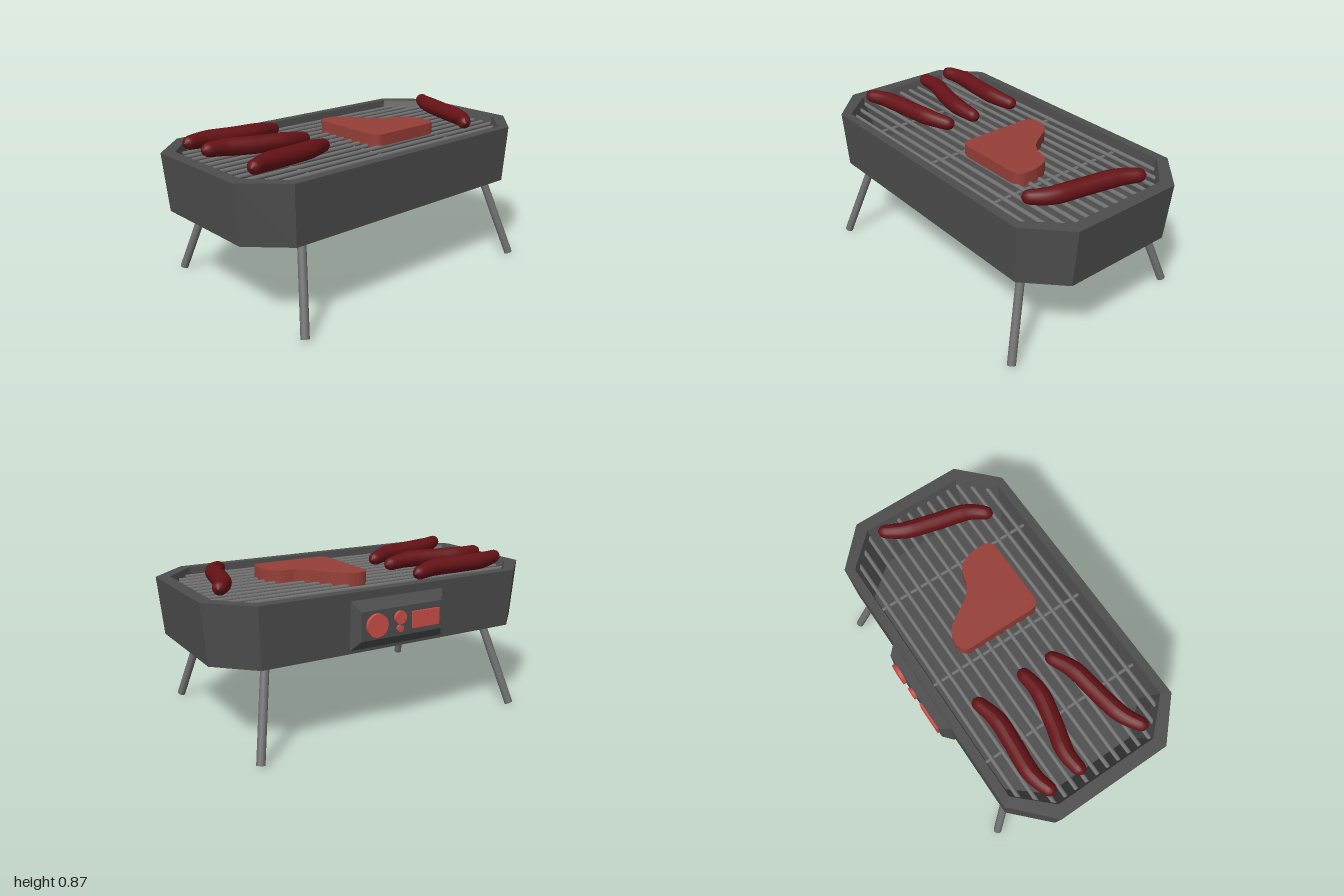
import * as THREE from 'three';

const mat = (color, extra = {}) => new THREE.MeshStandardMaterial({ color, ...extra });
const bodyMat = mat(0x4d4d4d, { flatShading: true });
const metalMat = mat(0x707070);
const knobMat = mat(0xcc4f48);
const steakMat = mat(0x963f37);
const sausageMat = mat(0x651216);

function add(parent, name, geometry, material) {
  const mesh = new THREE.Mesh(geometry, material);
  mesh.name = name;
  parent.add(mesh);
  return mesh;
}

// Rectangle with cut corners in the xz plane, in order of rising angle
function octagon(y, x, z, cx, cz) {
  return [[x, -cz], [x, cz], [cx, z], [-cx, z], [-x, cz], [-x, -cz], [-cx, -z], [cx, -z]]
    .map(([px, pz]) => [px, y, pz]);
}

function rectangle(y, x0, x1, z0, z1) {
  return [[x1, y, z0], [x1, y, z1], [x0, y, z1], [x0, y, z0]];
}

// Faceted skin through a row of rings, closed at both ends
function loft(rings) {
  const n = rings[0].length;
  const centre = ring => {
    const c = [0, 1, 2].map(k => ring.reduce((s, p) => s + p[k], 0) / n);
    return ring.map(() => c);
  };
  const all = [centre(rings[0]), ...rings, centre(rings[rings.length - 1])];
  const pos = [];
  for (let i = 0; i < all.length - 1; i++) {
    for (let j = 0; j < n; j++) {
      const k = (j + 1) % n;
      const a = all[i][j], b = all[i][k], c = all[i + 1][k], d = all[i + 1][j];
      if (i < all.length - 2) pos.push(...a, ...d, ...c);
      if (i > 0) pos.push(...a, ...c, ...b);
      else pos.push(...a, ...d, ...c);
    }
  }
  const g = new THREE.BufferGeometry();
  g.setAttribute('position', new THREE.Float32BufferAttribute(pos, 3));
  g.computeVertexNormals();
  return g;
}

// Round bar between two points
function rod(parent, name, from, to, radius, sides = 12) {
  const a = new THREE.Vector3(...from), b = new THREE.Vector3(...to);
  const mesh = add(parent, name, new THREE.CylinderGeometry(radius, radius, a.distanceTo(b), sides), metalMat);
  mesh.position.copy(a).add(b).multiplyScalar(0.5);
  mesh.quaternion.setFromUnitVectors(new THREE.Vector3(0, 1, 0), b.sub(a).normalize());
  return mesh;
}

// Tube whose rings shrink to rounded tips
function sausageGeometry(points) {
  const curve = new THREE.CatmullRomCurve3(points.map(p => new THREE.Vector3(...p)));
  const segments = 48, sides = 16, radius = 0.049;
  const g = new THREE.TubeGeometry(curve, segments, radius, sides);
  const pos = g.attributes.position, v = new THREE.Vector3();
  for (let i = 0; i <= segments; i++) {
    const u = i / segments, c = curve.getPointAt(u);
    const e = Math.min(u, 1 - u);
    const tip = e < 0.07 ? Math.sqrt(1 - (1 - e / 0.07) ** 2) : 1;
    const scale = tip * (0.72 + 0.28 * Math.min(1, e / 0.28));
    for (let j = 0; j <= sides; j++) {
      const k = i * (sides + 1) + j;
      v.fromBufferAttribute(pos, k).sub(c).multiplyScalar(scale).add(c);
      pos.setXYZ(k, v.x, v.y, v.z);
    }
  }
  g.computeVertexNormals();
  return g;
}

export function createModel() {
  const model = new THREE.Group();
  model.name = 'tabletopGrill';

  // Hollow tub with a flat rim
  add(model, 'tub', loft([
    octagon(0.47, 0.97, 0.515, 0.775, 0.325),
    octagon(0.795, 1.0, 0.53, 0.79, 0.33),
    octagon(0.795, 0.93, 0.48, 0.76, 0.30),
    octagon(0.53, 0.83, 0.45, 0.68, 0.27),
  ]), bodyMat);

  // Splayed legs
  for (const sx of [-1, 1]) {
    for (const sz of [-1, 1]) {
      rod(model, 'leg', [0.02 + sx * 0.685, 0.5, sz * 0.41], [0.02 + sx * 0.8, 0.007, sz * 0.57], 0.023, 20);
    }
  }

  // Cooking grate
  const grate = new THREE.Group();
  grate.name = 'grate';
  model.add(grate);
  for (let i = 0; i < 14; i++) {
    const z = -0.44 + i * 0.067;
    const half = 0.94 - Math.max(0, Math.abs(z) - 0.3) * 0.95;
    rod(grate, 'grateBar', [-half, 0.752, z], [half, 0.752, z], 0.012);
  }
  for (const x of [-0.54, -0.04, 0.49]) {
    rod(grate, 'crossBar', [x, 0.738, -0.485], [x, 0.738, 0.485], 0.01);
  }

  // Control panel on the back, modelled upright and tipped over
  const panel = new THREE.Group();
  panel.name = 'controlPanel';
  panel.rotation.x = -Math.PI / 2;
  model.add(panel);
  add(panel, 'panelHousing', loft([
    rectangle(0.5, -0.29, 0.285, 0.49, 0.76),
    rectangle(0.525, -0.29, 0.285, 0.49, 0.755),
    rectangle(0.575, -0.25, 0.25, 0.545, 0.70),
  ]), bodyMat);
  for (const [name, x, y, r, top] of [
    ['dial', 0.16, 0.622, 0.062, 0.594],
    ['button', 0.018, 0.645, 0.035, 0.592],
    ['smallButton', 0.018, 0.585, 0.019, 0.588],
  ]) {
    const knob = add(panel, name, new THREE.CylinderGeometry(r, r, top - 0.565, 28), knobMat);
    knob.position.set(x, (top + 0.565) / 2, y);
  }
  const display = add(panel, 'display', new THREE.BoxGeometry(0.17, 0.02, 0.09), knobMat);
  display.position.set(-0.145, 0.577, 0.62);

  // Steak
  const outline = new THREE.Shape();
  outline.moveTo(0, -0.21);
  outline.bezierCurveTo(0, -0.28, 0.13, -0.28, 0.18, -0.2);
  outline.bezierCurveTo(0.25, -0.09, 0.26, -0.05, 0.34, -0.015);
  outline.bezierCurveTo(0.43, 0.0, 0.45, 0.02, 0.475, 0.12);
  outline.lineTo(0.475, 0.18);
  outline.quadraticCurveTo(0.475, 0.24, 0.415, 0.24);
  outline.lineTo(0.06, 0.24);
  outline.quadraticCurveTo(0, 0.24, 0, 0.18);
  outline.closePath();
  const steak = add(model, 'steak',
    new THREE.ExtrudeGeometry(outline, { depth: 0.075, bevelEnabled: false, curveSegments: 10 }), steakMat);
  steak.rotation.x = Math.PI / 2;
  steak.position.y = 0.825;

  // Sausages
  const sausages = [
    [[-0.885, 0.832, -0.285], [-0.74, 0.822, -0.325], [-0.55, 0.815, -0.315], [-0.4, 0.812, -0.31], [-0.235, 0.795, -0.35]],
    [[-0.885, 0.832, -0.11], [-0.74, 0.822, -0.12], [-0.58, 0.815, -0.08], [-0.4, 0.812, -0.045], [-0.235, 0.795, -0.06]],
    [[-0.875, 0.832, 0.305], [-0.74, 0.822, 0.235], [-0.55, 0.815, 0.2], [-0.4, 0.812, 0.175], [-0.245, 0.795, 0.105]],
    [[0.875, 0.828, -0.26], [0.8, 0.825, -0.13], [0.75, 0.818, 0.05], [0.7, 0.812, 0.24], [0.615, 0.808, 0.35]],
  ];
  for (const path of sausages) add(model, 'sausage', sausageGeometry(path), sausageMat);

  return model;
}
